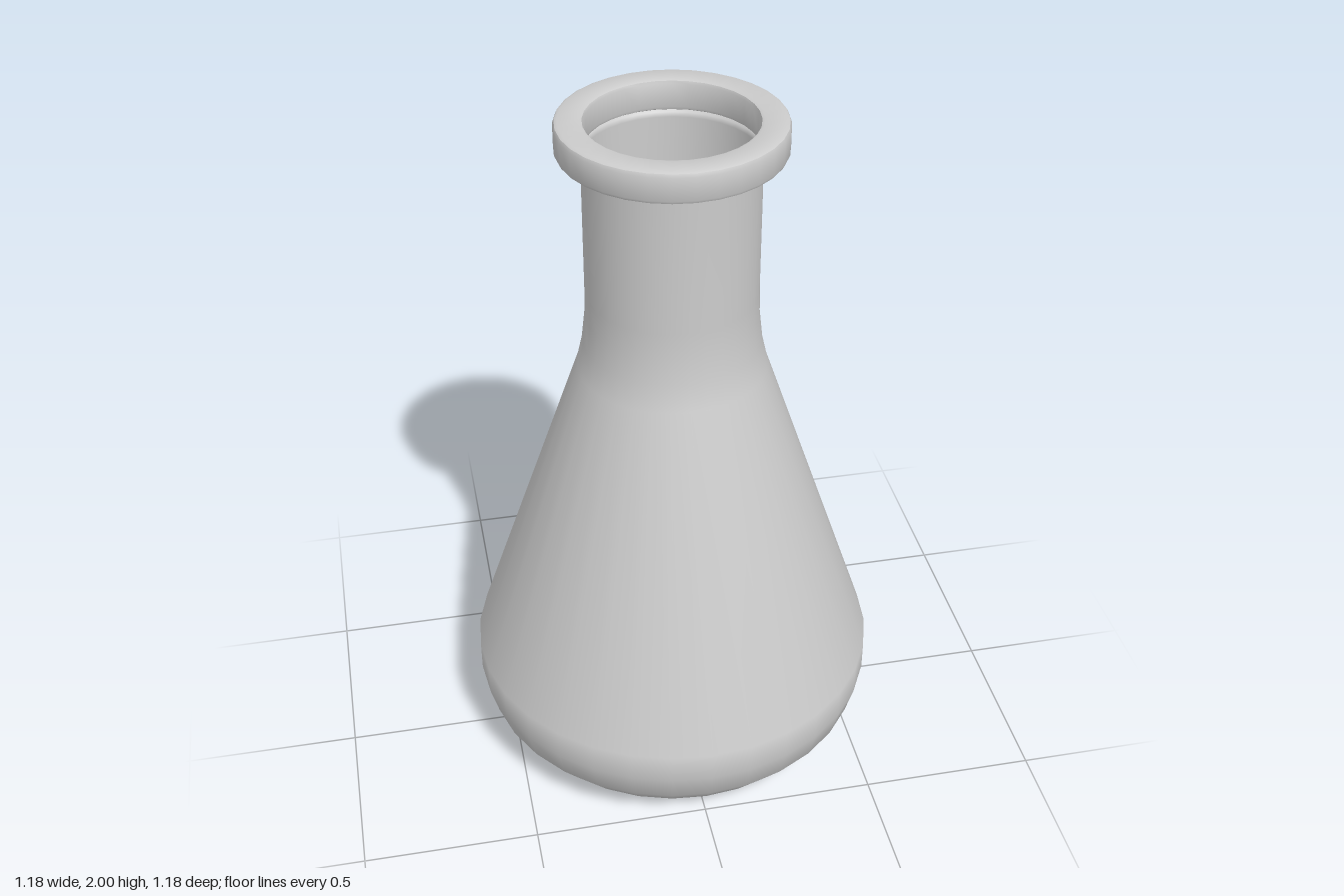
import * as THREE from 'three';
import { toCreasedNormals } from 'three/addons/utils/BufferGeometryUtils.js';

const SEGMENTS = 32;

export function createModel() {
  const flask = new THREE.Group();
  flask.name = 'conicalFlask';
  const material = new THREE.MeshStandardMaterial({ color: 0xcccccc, side: THREE.DoubleSide });

  function turned(name, profile, crease) {
    const points = profile.map(([r, y]) => new THREE.Vector2(r, y));
    let geometry = new THREE.LatheGeometry(points, SEGMENTS);
    if (crease) geometry = toCreasedNormals(geometry, crease);
    const mesh = new THREE.Mesh(geometry, material);
    mesh.name = name;
    flask.add(mesh);
  }

  // Thin wall: rounded foot, cone, shoulder, straight neck, small flare under the rim
  turned('body', [
    [0.415, 0], [0.508, 0.065], [0.567, 0.14], [0.59, 0.225], [0.59, 0.315],
    [0.265, 1.27], [0.247, 1.35], [0.238, 1.43], [0.236, 1.5],
    [0.236, 1.89], [0.24, 1.902], [0.252, 1.912],
  ]);

  // Flat bottom, separate so that its edge stays sharp
  const base = new THREE.Mesh(new THREE.CircleGeometry(0.415, SEGMENTS), material);
  base.name = 'base';
  base.rotation.x = Math.PI / 2;
  flask.add(base);

  // Lip ring with softened edges, a closed profile
  turned('rim', [
    [0.236, 1.912], [0.292, 1.912], [0.3, 1.916], [0.304, 1.924],
    [0.304, 1.987], [0.3, 1.996], [0.292, 2],
    [0.236, 2], [0.229, 1.997], [0.226, 1.99],
    [0.226, 1.924], [0.229, 1.916], [0.236, 1.912],
  ], 0.6);

  return flask;
}
